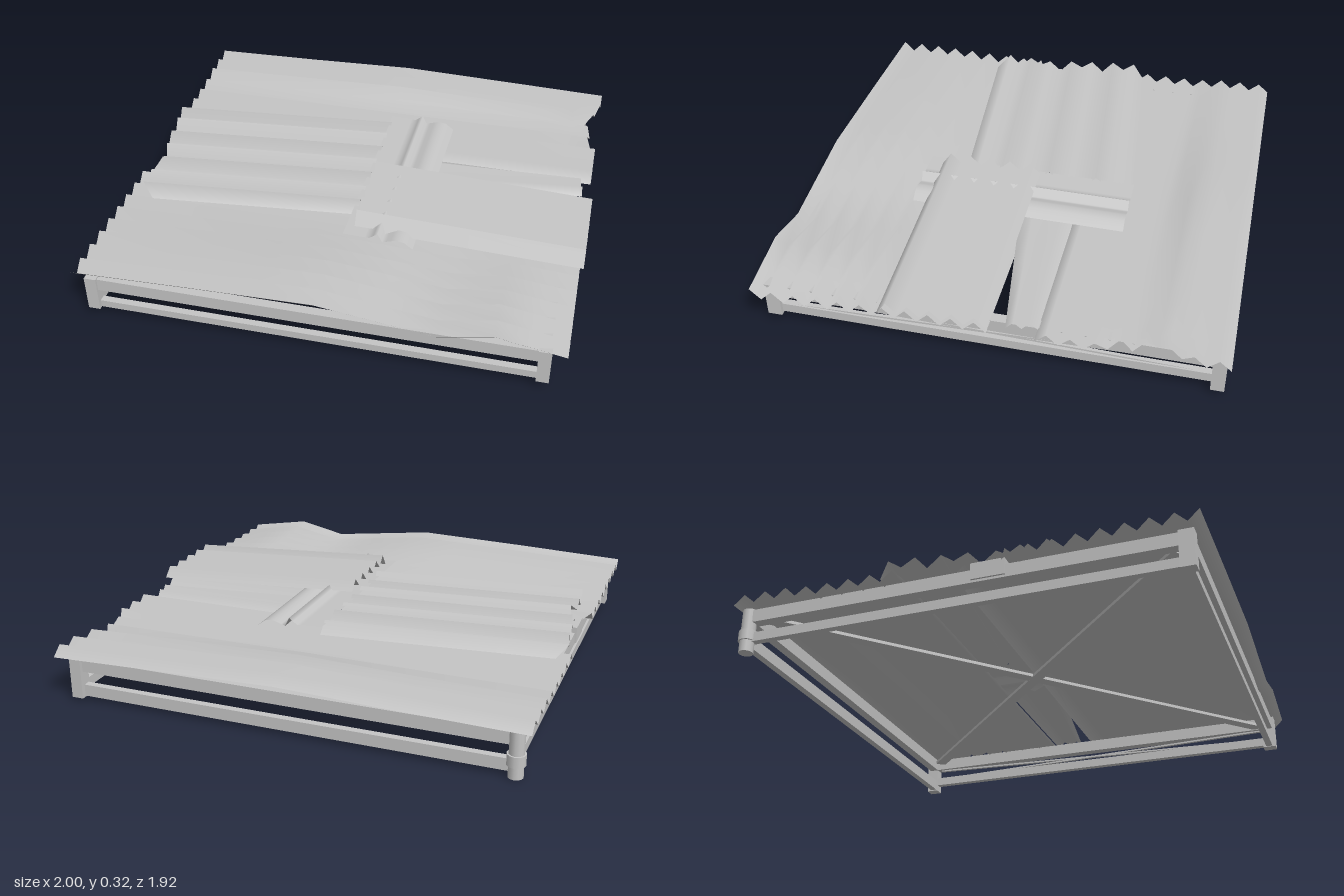
import * as THREE from 'three';

const metal = new THREE.MeshStandardMaterial({ color: 0xc5c5c5, side: THREE.DoubleSide });
metal.name = 'weathered grey';

const { lerp, smoothstep } = THREE.MathUtils;

// piecewise-linear lookup through [position, value] pairs
function along(points, t) {
  if (t <= points[0][0]) return points[0][1];
  for (let i = 1; i < points.length; i++) {
    const [a, va] = points[i - 1], [b, vb] = points[i];
    if (t <= b) return lerp(va, vb, (t - a) / (b - a));
  }
  return points[points.length - 1][1];
}

// corrugated sheet: u runs along the folds, v across them, place(u, v) gives [x, y, z]
function sheet(name, stations, folds, height, place) {
  const pos = [], index = [], n = folds * 2 + 1;
  stations.forEach((u, i) => {
    for (let j = 0; j < n; j++) {
      const [x, y, z] = place(u, j / (n - 1));
      pos.push(x, y + (j % 2 ? height / 2 : -height / 2), z);
      if (i && j) {
        const a = (i - 1) * n + j - 1, b = a + 1, c = a + n, d = c + 1;
        // mirrored diagonals keep the shading even on both sides of a fold
        if (j % 2) index.push(a, b, c, b, d, c);
        else index.push(a, b, d, a, d, c);
      }
    }
  });
  const g = new THREE.BufferGeometry();
  g.setAttribute('position', new THREE.Float32BufferAttribute(pos, 3));
  g.setIndex(index);
  g.computeVertexNormals();
  const mesh = new THREE.Mesh(g, metal);
  mesh.name = name;
  return mesh;
}

// box given by its minimum and maximum corners
function box(name, x0, x1, y0, y1, z0, z1) {
  const mesh = new THREE.Mesh(new THREE.BoxGeometry(x1 - x0, y1 - y0, z1 - z0), metal);
  mesh.position.set((x0 + x1) / 2, (y0 + y1) / 2, (z0 + z1) / 2);
  mesh.name = name;
  return mesh;
}

function cylinder(name, r, x, y0, y1, z) {
  const mesh = new THREE.Mesh(new THREE.CylinderGeometry(r, r, y1 - y0, 12), metal);
  mesh.position.set(x, (y0 + y1) / 2, z);
  mesh.name = name;
  return mesh;
}

// flat bar between two points
function bar(name, from, to, width, depth) {
  const a = new THREE.Vector3(...from), b = new THREE.Vector3(...to);
  const mesh = new THREE.Mesh(new THREE.BoxGeometry(width, depth, a.distanceTo(b)), metal);
  mesh.position.copy(a).add(b).multiplyScalar(0.5);
  mesh.lookAt(b);
  mesh.name = name;
  return mesh;
}

function createFrame() {
  const g = new THREE.Group();
  g.name = 'frame';
  // corner posts, one of them a pipe with a collar
  g.add(
    box('frontLeftPost', 0.87, 0.92, 0.035, 0.19, 0.865, 0.925),
    box('frontRightPost', -0.965, -0.915, 0.035, 0.19, 0.865, 0.925),
    box('backLeftPost', 0.87, 0.92, 0.015, 0.19, -0.945, -0.89),
    cylinder('backRightPost', 0.03, -0.94, 0, 0.19, -0.92),
    cylinder('backRightCollar', 0.037, -0.94, 0.05, 0.095, -0.92),
  );
  // rails between the posts
  for (const [z, low] of [[-0.91, 0.02], [0.895, 0.038]]) {
    g.add(box('upperLongRail', -0.93, 0.88, 0.13, 0.185, z - 0.02, z + 0.02));
    g.add(box('lowerLongRail', -0.93, 0.88, low, 0.07, z - 0.015, z + 0.015));
  }
  for (const x of [-0.935, 0.89]) {
    g.add(box('upperSideRail', x - 0.022, x + 0.022, 0.13, 0.185, -0.9, 0.88));
    g.add(box('lowerSideRail', x - 0.015, x + 0.015, 0.045, 0.085, -0.9, 0.88));
  }
  g.add(box('railBlock', -0.965, -0.92, 0.14, 0.21, 0.06, 0.2));
  // crossed braces under the roof
  g.add(bar('brace', [0.86, 0.14, 0.85], [-0.9, 0.165, -0.87], 0.05, 0.014));
  g.add(bar('brace', [-0.9, 0.14, 0.85], [0.86, 0.165, -0.87], 0.05, 0.014));
  // thin crossed ties in the side frame
  g.add(bar('sideTie', [0.89, 0.08, 0.85], [0.89, 0.128, -0.87], 0.014, 0.008));
  g.add(bar('sideTie', [0.89, 0.128, 0.85], [0.89, 0.08, -0.87], 0.014, 0.008));
  return g;
}

function createRoof() {
  const g = new THREE.Group();
  g.name = 'roof';

  // front sheet, dented along its upturned outer edge
  const frontEdge = [[-1, 0.22], [-0.5, 0.237], [0, 0.25], [0.48, 0.188], [0.7, 0.236], [0.98, 0.188]];
  const stations = [-1, -0.75, -0.5, -0.25, 0, 0.25, 0.48, 0.7, 0.85, 0.98];
  g.add(sheet('frontSheet', stations, 10.5, 0.045, (u, v) => {
    const trim = v < 0.22 && u === -1 ? 0.06 : 0;
    const bend = smoothstep(v, 0.3, 0.85);
    return [u + trim, lerp(0.205, along(frontEdge, u), bend), lerp(-0.02, 0.957, v)];
  }));

  // back sheet with a torn end
  const backEdge = [[-1, 0.215], [-0.5, 0.225], [0, 0.24], [0.5, 0.225], [0.98, 0.21]];
  const torn = [[-0.96, 0.98], [-0.83, 0.98], [-0.77, 0.955], [-0.72, 0.95], [-0.68, 0.91], [-0.59, 0.95],
    [-0.54, 0.935], [-0.45, 0.98], [-0.2, 0.98]];
  g.add(sheet('backSheet', stations, 8, 0.04, (u, v) => {
    const z = lerp(-0.962, -0.21, v);
    const bend = 1 - smoothstep(v, 0.28, 0.5);
    return [u === 0.98 ? along(torn, z) : u, lerp(0.2, along(backEdge, u), bend), z];
  }));

  // loose sheet lying askew, gently buckled, with a ragged end
  const ragged = [[0, -0.95], [0.06, -0.995], [0.2, -0.975], [0.42, -0.96], [0.66, -0.915],
    [0.72, -0.94], [0.94, -0.93], [1, -0.87]];
  g.add(sheet('looseSheet', [0, 0.25, 0.5, 0.75, 1], 7, 0.045, (u, v) => [
    lerp(along(ragged, v), 0.025, u),
    0.253 - 0.009 * Math.sin((v - 0.23) / 0.27 * Math.PI * 2),
    lerp(lerp(-0.33, 0.41, v), lerp(-0.43, 0.32, v), u),
  ]));

  // narrow strip tapering into the gap
  g.add(sheet('gapStrip', [0, 0.5, 1], 2, 0.03, (u, v) => [
    lerp(0.2, lerp(0.93, 0.95, v), u),
    0.21,
    lerp(lerp(-0.215, 0.03, v), lerp(-0.215, -0.09, v), u),
  ]));

  // cross patch: a sharp crease beside a round fold, running front to back
  const fold = [[0.015, 0.262], [0.126, 0.258], [0.1625, 0.284], [0.181, 0.245], [0.236, 0.263],
    [0.273, 0.258], [0.31, 0.23]];
  g.add(sheet('crossPatch', [0, 0.5, 1], 8, 0, (u, v) => {
    const x = lerp(0.015, 0.31, v);
    return [x - 0.01 * u, along(fold, x), lerp(-0.44, 0.49, u)];
  }));

  // top patch, sloping down toward the side, its front lip bent down
  g.add(sheet('topPatch', [0, 0.5, 1], 5, 0.045, (u, v) => [
    lerp(0.04, 0.995, u),
    lerp(0.295, 0.245, u) - (v === 1 ? 0.02 : 0),
    lerp(lerp(-0.02, 0.435, v), lerp(-0.025, 0.42, v), u),
  ]));
  return g;
}

export function createModel() {
  const model = new THREE.Group();
  model.name = 'corrugatedRoof';
  model.add(createFrame(), createRoof());
  return model;
}
